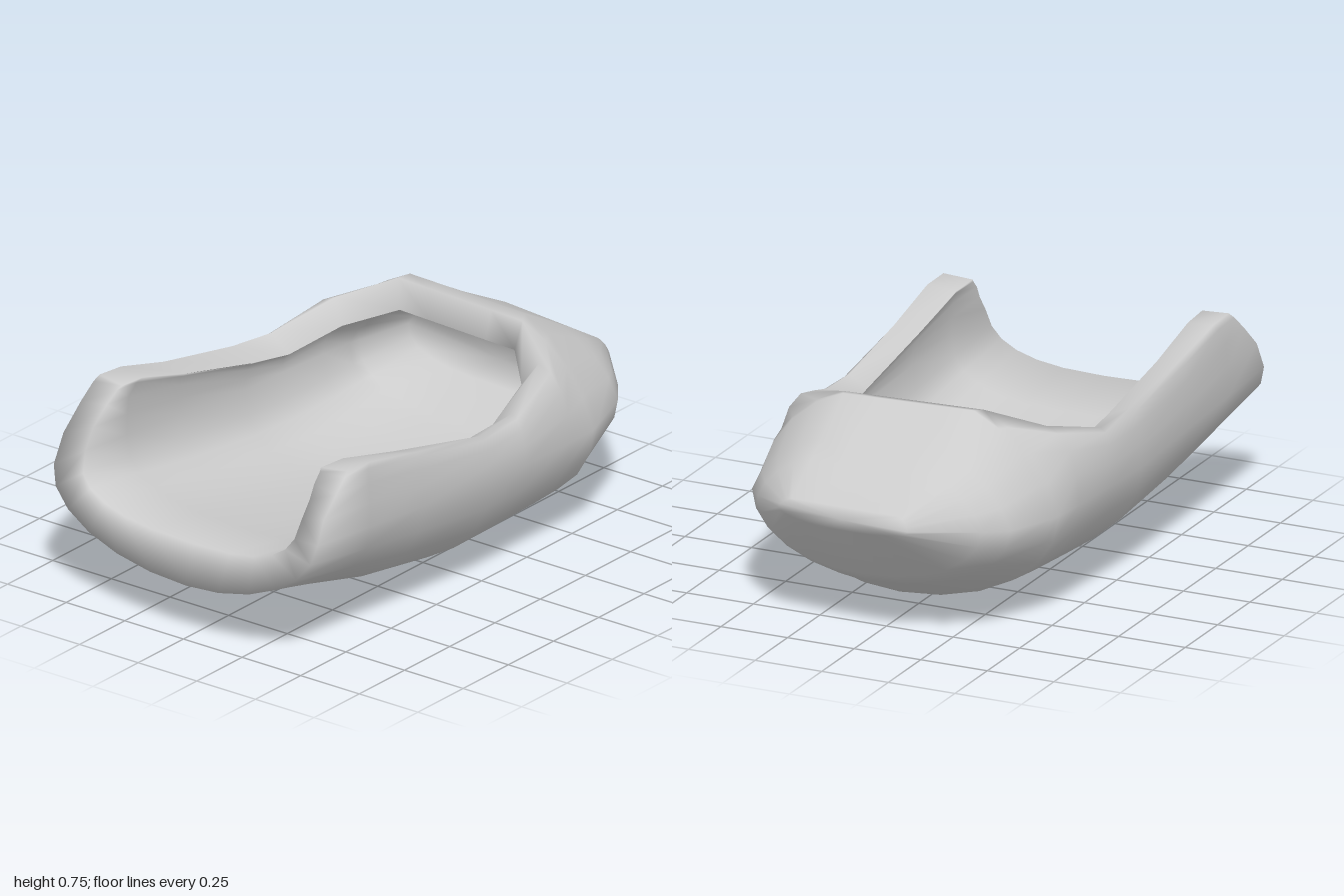
import * as THREE from 'three';
import { mergeGeometries, mergeVertices } from 'three/addons/utils/BufferGeometryUtils.js';

// Stations: x, keel y, side z back/front, side y, crest z/y back, crest z/y front,
// then the lining: crest z back/front, its drop below the outer crest, floor y
const STATIONS = [
  [-1.0, 0.20, -0.59, 0.535, 0.47, -0.565, 0.73, 0.53, 0.685, -0.46, 0.425, 0.01, 0.34],
  [-0.68, 0.125, -0.588, 0.55, 0.45, -0.56, 0.722, 0.535, 0.68, -0.46, 0.43, 0.01, 0.30],
  [-0.4, 0.05, -0.58, 0.56, 0.43, -0.545, 0.667, 0.53, 0.623, -0.455, 0.44, 0.02, 0.25],
  [-0.05, 0.0, -0.57, 0.575, 0.40, -0.525, 0.607, 0.53, 0.56, -0.44, 0.46, 0.04, 0.21],
  [0.14, 0.01, -0.56, 0.58, 0.40, -0.505, 0.595, 0.52, 0.572, -0.43, 0.44, 0.06, 0.20],
  [0.38, 0.025, -0.545, 0.585, 0.40, -0.42, 0.665, 0.45, 0.655, -0.365, 0.40, 0.08, 0.22],
  [0.51, 0.035, -0.53, 0.583, 0.40, -0.25, 0.738, 0.28, 0.722, -0.22, 0.27, 0.10, 0.25],
  [0.55, 0.06, -0.52, 0.57, 0.40, -0.23, 0.745, 0.26, 0.73, -0.21, 0.25, 0.10, 0.26],
  [0.74, 0.15, -0.46, 0.51, 0.41, -0.22, 0.635, 0.25, 0.625, -0.20, 0.23, 0.07, 0.34],
  [0.82, 0.20, -0.39, 0.45, 0.42, -0.21, 0.59, 0.25, 0.58],
  [1.0, 0.41, -0.20, 0.30, 0.45, -0.17, 0.50, 0.25, 0.49],
];
const MOUTH = 6; // last station open at the top
const LINING_END = 8; // cavity reaches under the nose up to here
const UP = 4, LOW = 6, BRIDGE = 4;

// The open end leans: x depends on height
function endX(y) {
  const t = [[0.2, -1], [0.45, -0.96], [0.55, -0.92], [0.62, -0.85], [0.74, -0.72]];
  for (let i = 1; i < t.length; i++) {
    if (y <= t[i][0]) {
      return THREE.MathUtils.mapLinear(Math.max(y, 0.2), t[i - 1][0], t[i][0], t[i - 1][1], t[i][1]);
    }
  }
  return -0.72;
}

// Cross-section from back crest, under the keel, to front crest
function section(i, inner) {
  let [x, y0, zb, zf, ys, cb, yb, cf, yf, innerB, innerF, drop, floor] = STATIONS[i];
  if (inner) {
    y0 = floor; zb += 0.10; zf -= 0.10; ys += 0.06;
    cb = innerB; cf = innerF; yb -= drop; yf -= drop;
    if (i >= MOUTH - 1) x -= 0.03;
  }
  const zk = (zb + zf) / 2 + 0.04;
  const round = i < MOUTH ? 1 : 0.6; // flatter shoulders on the nose
  const power = inner ? 0.75 : 1; // flatter floor inside
  const place = (z, y) => {
    let px = x;
    if (i === 0) px = endX(y) + (inner && y < 0.6 ? 0.02 : 0);
    if (i === 1) px = Math.max(x, endX(y) + 0.12);
    if (i === STATIONS.length - 1) px = 1 - 0.07 * (z + 0.2);
    return new THREE.Vector3(px, y, z);
  };
  const half = (zs, zc, yc) => {
    const pts = [];
    for (let k = 0; k <= UP; k++) {
      const t = 1 - k / UP, a = t * Math.PI / 2;
      const out = THREE.MathUtils.lerp(1 - t, Math.cos(a), round);
      const rise = THREE.MathUtils.lerp(t, Math.sin(a), round);
      pts.push(place(zc + (zs - zc) * out, ys + (yc - ys) * rise));
    }
    for (let k = 1; k <= LOW; k++) {
      const a = k / LOW * Math.PI / 2;
      const out = k === LOW ? 0 : Math.cos(a) ** power;
      pts.push(place(zk + (zs - zk) * out, ys - (ys - y0) * Math.sin(a) ** power));
    }
    return pts;
  };
  return [...half(zb, cb, yb), ...half(zf, cf, yf).reverse().slice(1)];
}

// Line across the top, from front crest to back crest
function bridge(sec) {
  const pts = [];
  for (let k = 0; k <= BRIDGE; k++) pts.push(sec[sec.length - 1].clone().lerp(sec[0], k / BRIDGE));
  return pts;
}

// Skin over rows of equal length
function skin(rows, flip = false) {
  const n = rows[0].length, pos = [], idx = [];
  rows.forEach((r) => r.forEach((p) => pos.push(p.x, p.y, p.z)));
  for (let i = 0; i < rows.length - 1; i++) {
    for (let j = 0; j < n - 1; j++) {
      const a = i * n + j, b = a + n, c = b + 1, d = a + 1;
      idx.push(...(flip ? [a, c, b, a, d, c] : [a, b, c, a, c, d]));
    }
  }
  const g = new THREE.BufferGeometry();
  g.setAttribute('position', new THREE.Float32BufferAttribute(pos, 3));
  g.setIndex(idx);
  return g;
}

// Loft pieces: walls along the whole length, a roof ahead of the mouth, a closed tip
function loft(secs, flip) {
  const roofs = secs.slice(MOUTH).map(bridge);
  const last = secs[secs.length - 1];
  const ring = [...last, ...roofs[roofs.length - 1].slice(1)];
  const mid = new THREE.Vector3();
  last.forEach((p) => mid.addScaledVector(p, 1 / last.length));
  return [skin(secs, flip), skin(roofs, flip), skin([ring, ring.map(() => mid)], flip)];
}

// Closed path round the opening and down round the open end
function rimLoop(secs) {
  const open = secs.slice(0, MOUTH + 1);
  const back = open.map((s) => s[0]);
  const front = open.map((s) => s[s.length - 1]).reverse();
  const across = bridge(open[MOUTH]).reverse();
  return [...back, ...across.slice(1), ...front.slice(1), ...secs[0].slice().reverse().slice(1)];
}

export function createModel() {
  const group = new THREE.Group();
  const outer = STATIONS.map((_, i) => section(i, false));
  const inner = STATIONS.slice(0, LINING_END + 1).map((_, i) => section(i, true));

  // Outer shell, inner lining and the lip between them, as one smooth skin
  const lip = skin([rimLoop(outer), rimLoop(inner)]);
  const geometry = mergeVertices(mergeGeometries([...loft(outer, false), ...loft(inner, true), lip]), 1e-4);
  geometry.computeVertexNormals();
  const material = new THREE.MeshStandardMaterial({ color: 0xcccccc, side: THREE.DoubleSide });
  const shell = new THREE.Mesh(geometry, material);
  shell.name = 'hollowShell';
  group.add(shell);
  return group;
}
